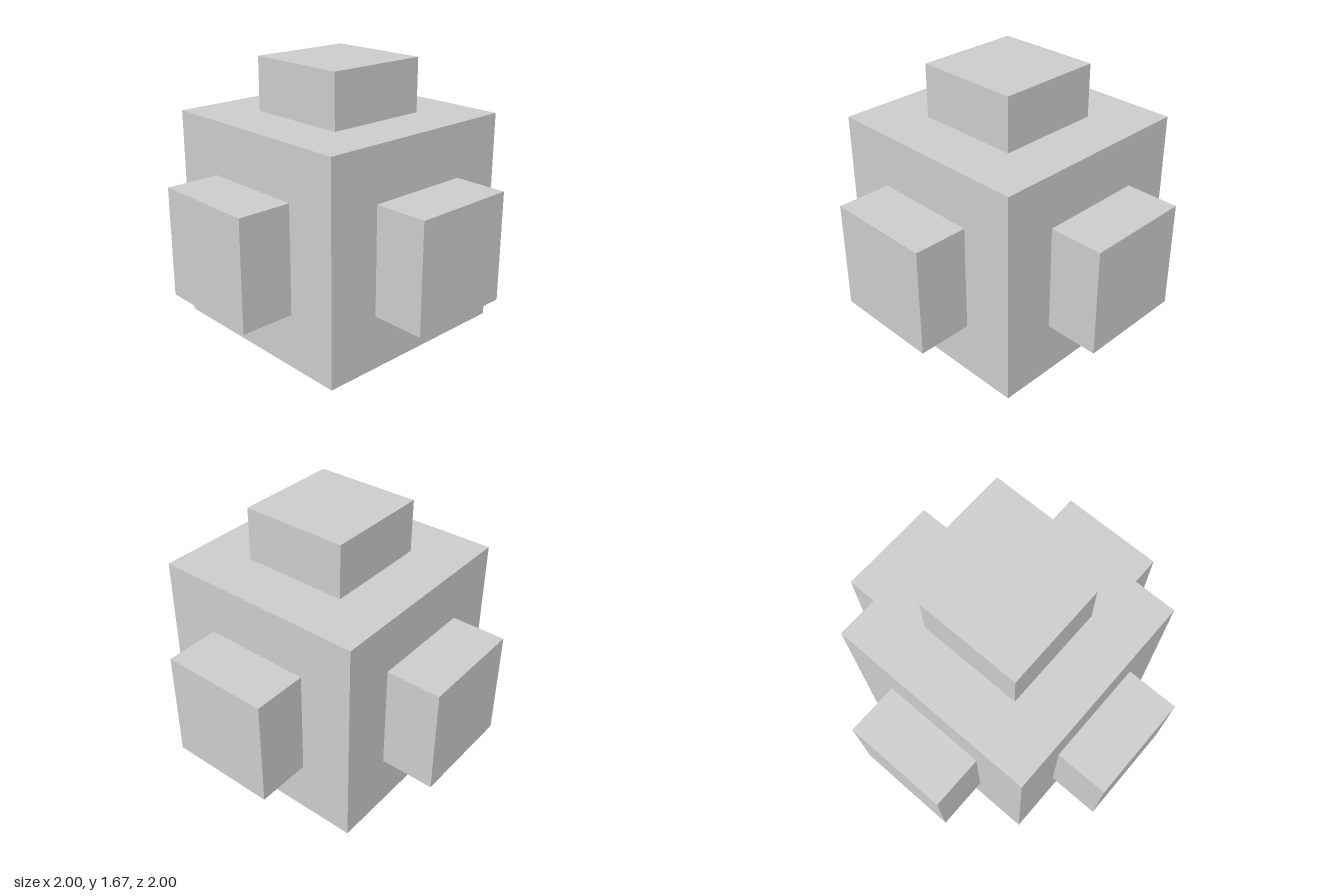
import * as THREE from 'three';

const CORE = 4 / 3;  // edge of the central cube
const PAD = 2 / 3;   // width of each square block
const DEPTH = 1 / 3; // how far each block stands out

export function createModel() {
  const model = new THREE.Group();
  model.name = 'cubeWithBlocks';
  const material = new THREE.MeshStandardMaterial({ color: 0xcccccc, flatShading: true });

  // Central cube, resting on the ground
  const core = new THREE.Mesh(new THREE.BoxGeometry(CORE, CORE, CORE), material);
  core.name = 'centralCube';
  core.position.y = CORE / 2;
  model.add(core);

  // One block centred on every face except the bottom
  const directions = {
    topBlock: [0, 1, 0],
    frontBlock: [0, 0, 1],
    backBlock: [0, 0, -1],
    leftBlock: [1, 0, 0],
    rightBlock: [-1, 0, 0],
  };
  for (const [name, dir] of Object.entries(directions)) {
    const size = dir.map((d) => (d ? DEPTH : PAD));
    const block = new THREE.Mesh(new THREE.BoxGeometry(...size), material);
    block.name = name;
    block.position.set(...dir).multiplyScalar((CORE + DEPTH) / 2).add(core.position);
    model.add(block);
  }

  return model;
}
